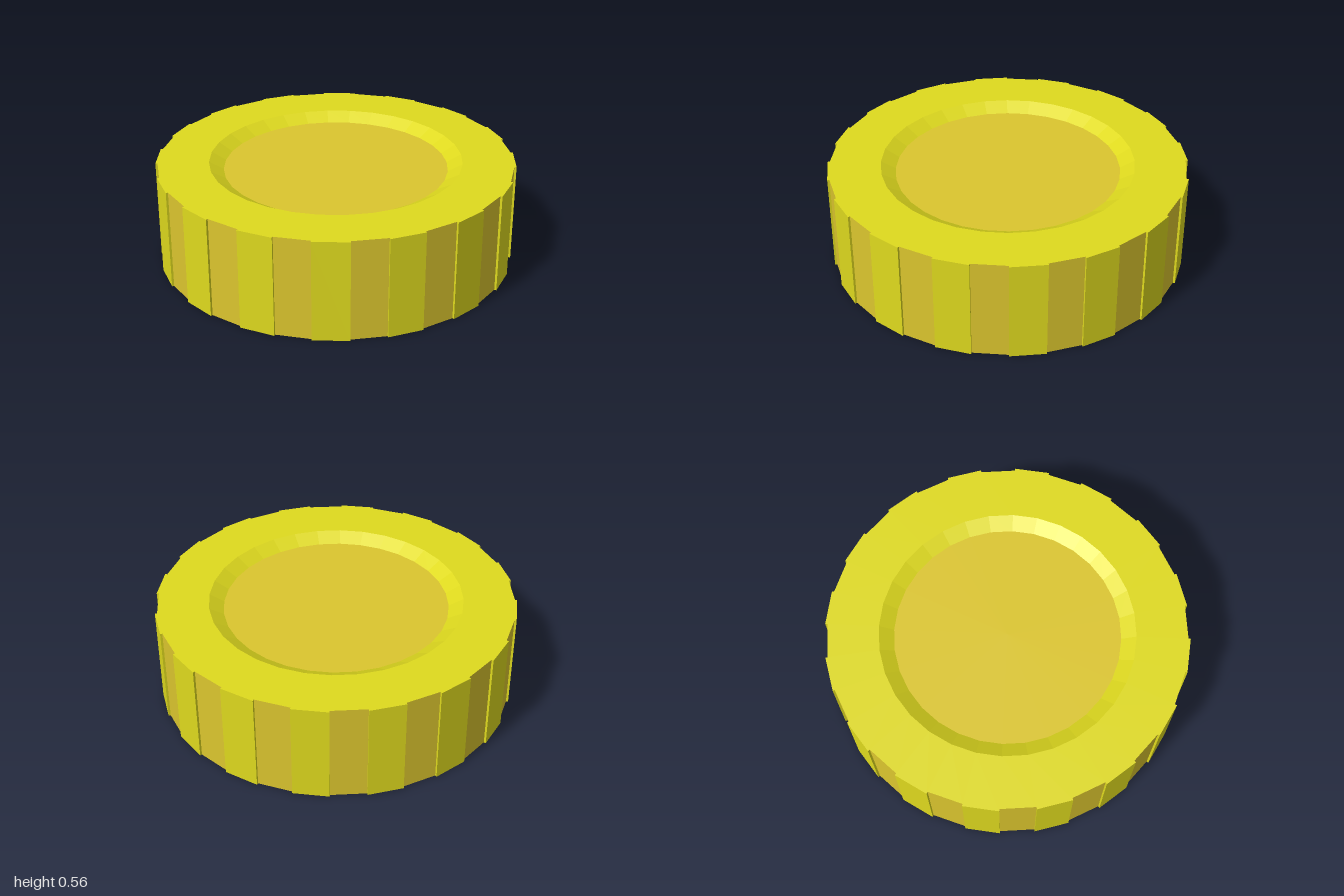
import * as THREE from 'three';
import { mergeGeometries } from 'three/addons/utils/BufferGeometryUtils.js';

const SIDES = 32, STEP = Math.PI * 2 / SIDES;
const H = 0.565;            // thickness
const R = 1, NOTCH = 0.988; // raised and recessed edge radii
const DISH = 0.705, FLOOR = 0.625, DEPTH = 0.045;

export function createModel() {
  const group = new THREE.Group();
  const yellow = new THREE.MeshStandardMaterial({ color: 0xdfda1e, flatShading: true });
  const gold = new THREE.MeshStandardMaterial({ color: 0xdcc62e, flatShading: true });

  const add = (name, geometry, material) => {
    const mesh = new THREE.Mesh(geometry, material);
    mesh.name = name;
    group.add(mesh);
    return mesh;
  };
  // One flat slice of a turned profile
  const slice = (i, profile) => new THREE.LatheGeometry(
    profile.map(([r, y]) => new THREE.Vector2(r, y)), 1, i * STEP, STEP);

  const faces = [], ridges = [], grooves = [], steps = [];
  for (let i = 0; i < SIDES; i++) {
    const raised = i % 2 === 1;
    const r = raised ? R : NOTCH;
    // Flat rims and sloped dish walls, below and above
    faces.push(slice(i, [[FLOOR, DEPTH], [DISH, 0], [r, 0]]));
    faces.push(slice(i, [[r, H], [DISH, H], [FLOOR, H - DEPTH]]));
    // Alternating raised and recessed edge panels
    (raised ? ridges : grooves).push(slice(i, [[r, 0], [r, H]]));
    // Small radial wall between neighbouring panels, facing the groove
    const wall = new THREE.PlaneGeometry(R - NOTCH, H);
    if (!raised) wall.rotateY(Math.PI);
    wall.translate((R + NOTCH) / 2, H / 2, 0);
    wall.rotateY(i * STEP - Math.PI / 2);
    steps.push(wall);
  }
  add('rimFaces', mergeGeometries(faces), yellow);
  add('raisedEdgePanels', mergeGeometries(ridges), yellow);
  add('recessedEdgePanels', mergeGeometries(grooves), gold);
  const stepMaterial = yellow.clone();
  stepMaterial.side = THREE.DoubleSide;
  add('edgeSteps', mergeGeometries(steps), stepMaterial);

  // Sunken discs on both faces
  const disc = new THREE.CircleGeometry(FLOOR, SIDES).rotateX(-Math.PI / 2);
  add('topDisc', disc, gold).position.y = H - DEPTH;
  const bottom = add('bottomDisc', disc, gold);
  bottom.rotation.x = Math.PI;
  bottom.position.y = DEPTH;

  return group;
}
